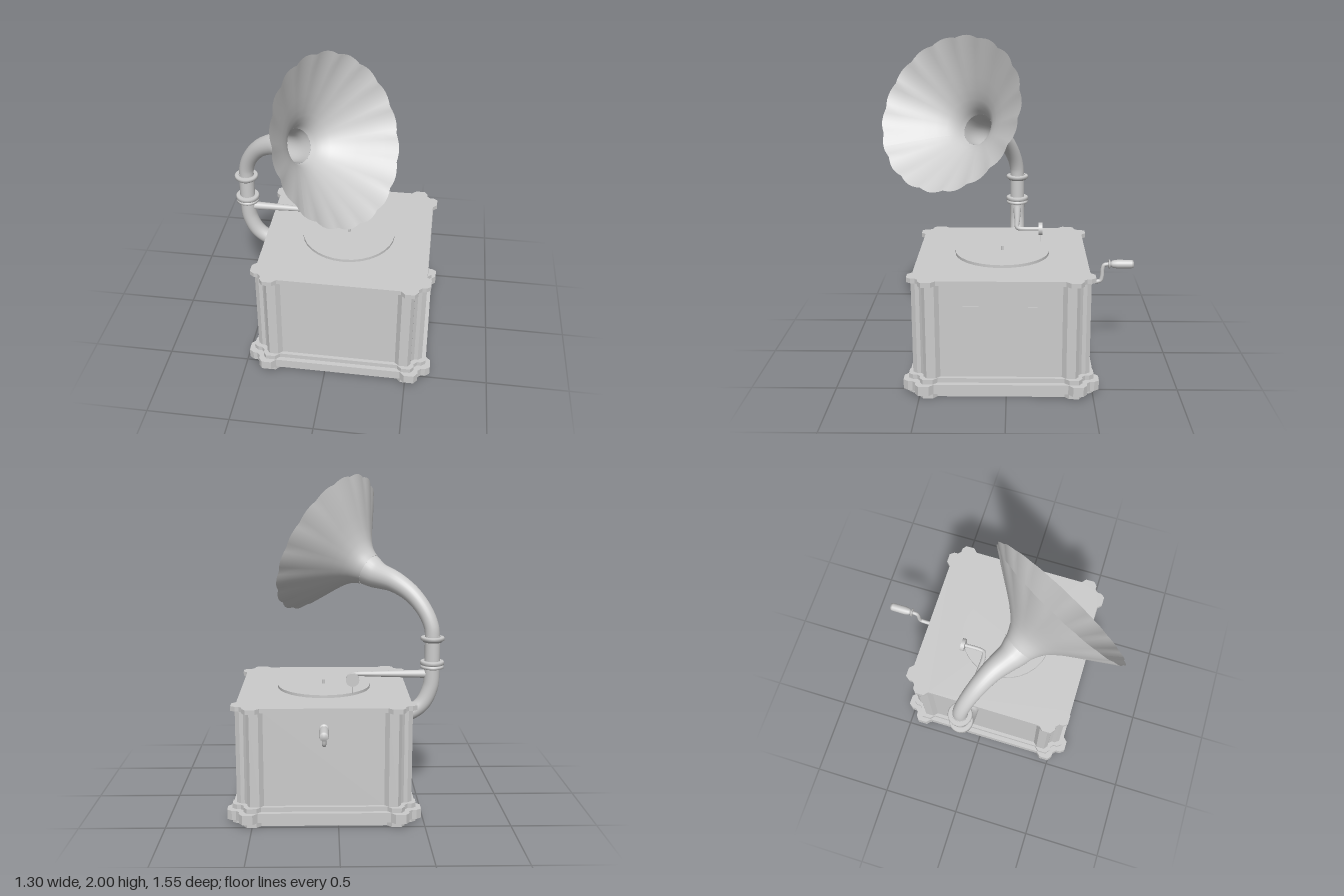
import * as THREE from 'three';

const V = (x, y, z) => new THREE.Vector3(x, y, z);
const CX = 0.083, CZ = 0.03;      // cabinet centre
const PX = -0.577, PZ = -0.06;    // upright pipe axis

export function createModel() {
  const model = new THREE.Group();
  const solid = new THREE.MeshStandardMaterial({ color: 0xcccccc });
  const open = new THREE.MeshStandardMaterial({ color: 0xcccccc, side: THREE.DoubleSide });

  const add = (name, geometry, x = 0, y = 0, z = 0, material = solid) => {
    const mesh = new THREE.Mesh(geometry, material);
    mesh.name = name;
    mesh.position.set(x, y, z);
    model.add(mesh);
    return mesh;
  };
  const lathe = (pts, segments = 32) =>
    new THREE.LatheGeometry(pts.map(([r, y]) => new THREE.Vector2(r, y)), segments);

  // Tube whose radius runs evenly through a list of radii
  const taperedTube = (points, radii, steps = 40, sides = 24) => {
    const curve = new THREE.CatmullRomCurve3(points);
    const geo = new THREE.TubeGeometry(curve, steps, 1, sides);
    const pos = geo.attributes.position, p = new THREE.Vector3();
    for (let i = 0; i <= steps; i++) {
      const c = curve.getPointAt(i / steps);
      const f = (i / steps) * (radii.length - 1), k = Math.min(Math.floor(f), radii.length - 2);
      const r = THREE.MathUtils.lerp(radii[k], radii[k + 1], f - k);
      for (let j = 0; j <= sides; j++) {
        const n = i * (sides + 1) + j;
        p.fromBufferAttribute(pos, n).sub(c).multiplyScalar(r).add(c);
        pos.setXYZ(n, p.x, p.y, p.z);
      }
    }
    return geo;
  };

  // Cabinet: one notched-corner outline, scaled per layer
  const corner = [[.537, .385], [.565, .412], [.565, .471], [.537, .492], [.512, .492],
    [.492, .512], [.492, .537], [.471, .565], [.412, .565], [.385, .537]];
  const layer = (name, scale, y0, y1) => {
    const pts = [];
    for (let q = 0; q < 4; q++) {
      for (const [x, y] of corner) {
        pts.push(new THREE.Vector2(x * scale, y * scale)
          .rotateAround(new THREE.Vector2(), q * Math.PI / 2));
      }
    }
    const geo = new THREE.ExtrudeGeometry(new THREE.Shape(pts), { depth: y1 - y0, bevelEnabled: false });
    add(name, geo.rotateX(-Math.PI / 2), CX, y0, CZ);
  };
  layer('plinthFoot', 0.948, 0, 0.03);
  layer('plinth', 1, 0.03, 0.087);
  layer('plinthCap', 0.948, 0.087, 0.115);
  layer('cabinet', 0.907, 0.115, 0.677);
  layer('cabinetTop', 0.948, 0.677, 0.705);
  add('sidePanel', new THREE.BoxGeometry(0.012, 0.297, 0.421), CX + 0.485, 0.398, 0.035);

  // Turntable
  add('turntable', new THREE.CylinderGeometry(0.286, 0.286, 0.017, 32), CX, 0.7135, CZ);
  add('spindle', new THREE.CylinderGeometry(0.008, 0.008, 0.03, 12), CX, 0.732, CZ);

  // Elbow and upright pipe with collars
  add('lowerPipe', taperedTube([V(-.37, .553, PZ), V(-.44, .558, PZ), V(-.52, .615, PZ),
    V(-.568, .72, PZ), V(PX, .85, PZ)], [.048, .048]), 0, 0, 0, open);
  add('uprightPipe', new THREE.CylinderGeometry(.047, .047, .2, 24), PX, .94, PZ);
  add('lowerCollar', lathe([[0, 0], [.06, 0], [.07, .004], [.07, .016], [.062, .02], [.062, .023],
    [.073, .026], [.073, .044], [.068, .048], [0, .048]]), PX, .838, PZ);
  add('upperCollar', lathe([[0, 0], [.058, 0], [.062, .01], [.072, .012], [.073, .028],
    [.068, .031], [0, .031]]), PX, 1.003, PZ);

  // Horn: gooseneck runs into a fluted, scalloped bell
  const axis = V(.763, .44, .47).normalize(), mouth = V(.06, 1.5625, .345);
  const onAxis = s => mouth.clone().addScaledVector(axis, -s);
  const onArc = (d, y) => V(PX + .851 * d, y, PZ + .525 * d);
  add('hornNeck', taperedTube([onArc(0, 1.01), onArc(.008, 1.09), onArc(.05, 1.18), onArc(.14, 1.28),
    onArc(.26, 1.35), onAxis(.40), onAxis(.34)],
  [.045, .046, .048, .052, .058, .066, .078, .1]), 0, 0, 0, open);

  const lobes = 18;
  const bell = lathe([[.1, -.34], [.113, -.31], [.132, -.275], [.165, -.238], [.215, -.195],
    [.28, -.147], [.35, -.098], [.42, -.048], [.487, 0]], lobes * 6);
  const bp = bell.attributes.position;
  for (let i = 0; i < bp.count; i++) {
    const x = bp.getX(i), z = bp.getZ(i), t = (Math.hypot(x, z) - .1) / .387;
    const f = 1 + .028 * t * t * (Math.abs(Math.sin(Math.atan2(z, x) * lobes / 2)) - 1);
    bp.setXYZ(i, x * f, bp.getY(i), z * f);
  }
  bell.computeVertexNormals();
  add('hornBell', bell, mouth.x, mouth.y, mouth.z, open)
    .quaternion.setFromUnitVectors(V(0, 1, 0), axis);

  // Tone arm, sound box and needle
  add('toneArm', taperedTube([V(PX, .803, PZ), V(-.42, .803, PZ), V(-.25, .803, PZ), V(-.12, .803, PZ),
    V(-.094, .803, -.07), V(-.087, .803, -.1), V(-.087, .803, -.195)],
  [.027, .024, .021, .018, .015, .012, .012], 60, 16), 0, 0, 0, open);
  add('soundBox', new THREE.CylinderGeometry(.04, .04, .024, 24).rotateX(Math.PI / 2), -.087, .803, -.206);
  add('needle', new THREE.CylinderGeometry(.003, .002, .06, 8), -.087, .75, -.206);

  // Crank at the back
  add('crankArm', taperedTube([V(CX, .517, -.43), V(CX, .517, -.55), V(CX, .525, -.575),
    V(CX, .55, -.583), V(CX, .6, -.586), V(CX, .625, -.596), V(CX, .631, -.63)], [.013, .012], 50, 14),
  0, 0, 0, open);
  add('crankHandle', lathe([[0, 0], [.026, 0], [.028, .004], [.026, .01], [.014, .012], [.016, .02],
    [.022, .024], [.027, .055], [.026, .14], [.023, .153], [0, .154]], 24).rotateX(-Math.PI / 2),
  CX, .631, -.621);

  return model;
}
